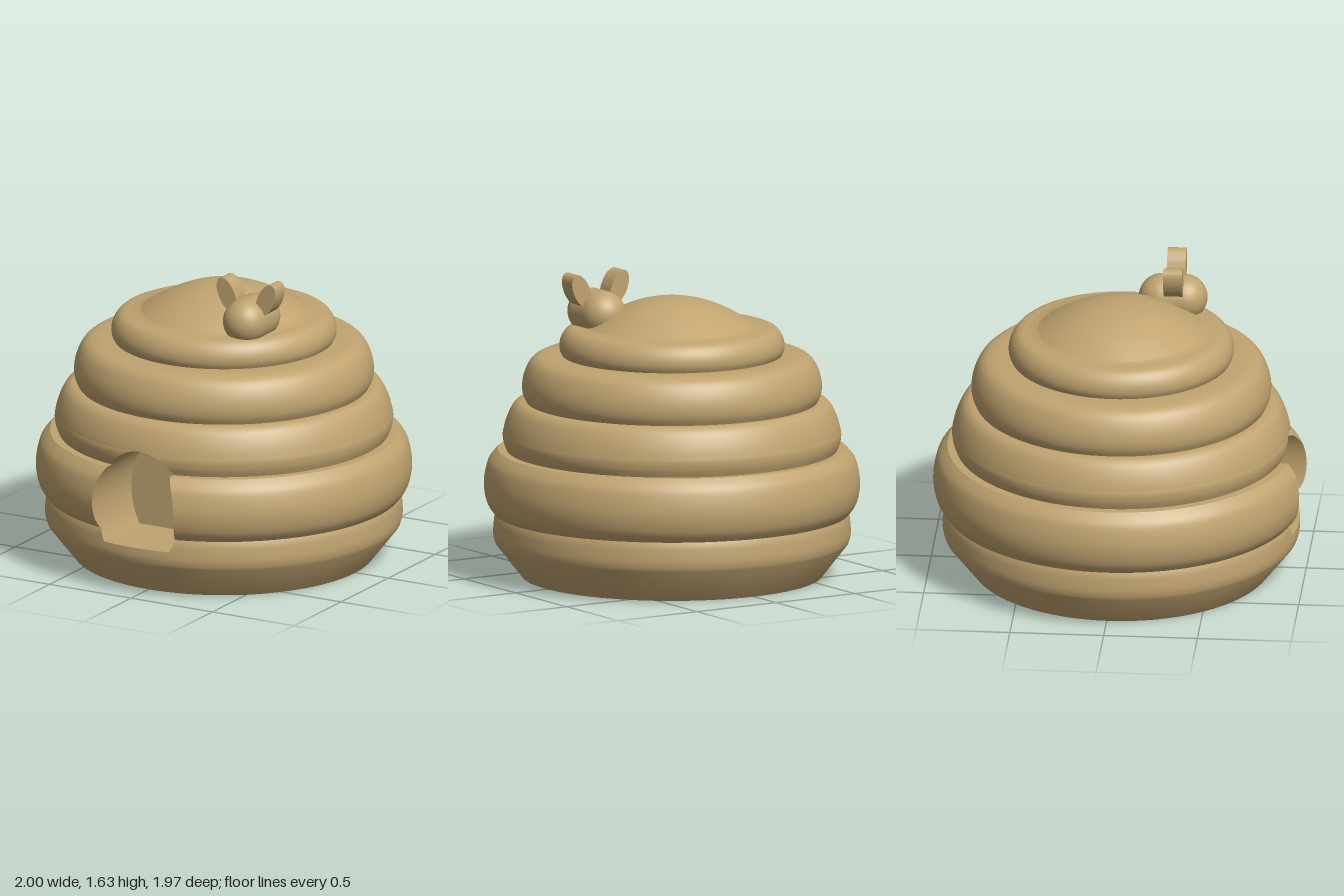
import * as THREE from 'three';
import { toCreasedNormals } from 'three/addons/utils/BufferGeometryUtils.js';

const FLOOR = 0.27, ARCH = 0.79, BACK = 0.55, COLS = 112;

// Half width of the doorway at a height
function doorHalfWidth(y) {
  if (y > ARCH - 1e-5) return 0;
  const t = (y - 0.48) / (y > 0.48 ? 0.31 : 0.35);
  return 0.25 * Math.sqrt(Math.max(0, 1 - t * t));
}

// Surface from rows of points; counter-clockwise when rows go up and points go right
function gridGeometry(rows) {
  const pos = [], n = new THREE.Vector3();
  const tri = (a, b, c) => {
    n.subVectors(b, a).cross(c.clone().sub(a));
    if (n.length() > 1e-8) [a, b, c].forEach((p) => pos.push(p.x, p.y, p.z));
  };
  for (let i = 0; i + 1 < rows.length; i++) {
    for (let j = 0; j + 1 < rows[i].length; j++) {
      const a = rows[i][j], b = rows[i][j + 1], c = rows[i + 1][j + 1], d = rows[i + 1][j];
      tri(a, b, c);
      tri(a, c, d);
    }
  }
  const g = new THREE.BufferGeometry();
  g.setAttribute('position', new THREE.Float32BufferAttribute(pos, 3));
  return toCreasedNormals(g, 0.6);
}

// Smooth profile through a few [radius, height] points
function spline(points, count) {
  return new THREE.SplineCurve(points.map((p) => new THREE.Vector2(...p))).getPoints(count);
}

export function createModel() {
  const straw = new THREE.MeshStandardMaterial({ color: 0xc0a470 });
  straw.name = 'straw';
  const model = new THREE.Group();
  const add = (parent, name, geometry) => {
    const mesh = new THREE.Mesh(geometry, straw);
    mesh.name = name;
    parent.add(mesh);
    return mesh;
  };

  // Coil profiles, bottom to top, split where the doorway starts and ends
  const below = [
    new THREE.Vector2(0, 0), new THREE.Vector2(0.8, 0),
    ...spline([[0.94, 0.18], [0.949, 0.21], [0.951, 0.24], [0.949, FLOOR]], 6),
  ];
  const beside = [
    ...spline([[0.949, FLOOR], [0.945, 0.31], [0.935, 0.34]], 5),
    ...spline([[0.945, 0.34], [0.98, 0.39], [0.998, 0.46], [0.998, 0.53], [0.98, 0.61], [0.955, 0.65], [0.925, 0.68]], 24),
    ...spline([[0.88, 0.68], [0.895, 0.72], [0.9, 0.76], [0.895, ARCH]], 24),
  ];
  const above = [
    ...spline([[0.895, ARCH], [0.885, 0.83], [0.865, 0.88], [0.84, 0.92], [0.81, 0.94]], 10),
    ...spline([[0.775, 0.94], [0.793, 0.98], [0.797, 1.03], [0.785, 1.09], [0.755, 1.15], [0.715, 1.18], [0.66, 1.19]], 20),
    ...spline([[0.585, 1.19], [0.598, 1.22], [0.597, 1.26], [0.58, 1.3], [0.55, 1.33], [0.51, 1.34]], 14),
    ...spline([[0.45, 1.34], [0.38, 1.384], [0.3, 1.428], [0.2, 1.469], [0.1, 1.492], [0, 1.5]], 18),
  ];

  // Revolve a profile, leaving the doorway open when asked
  const revolve = (profile, open) => profile.map((p) => {
    const gap = open ? Math.asin(doorHalfWidth(p.y) / p.x) : 0;
    const row = [];
    for (let j = 0; j <= COLS; j++) {
      const a = gap + (2 * Math.PI - 2 * gap) * j / COLS;
      row.push(new THREE.Vector3(p.x * Math.sin(a), p.y, p.x * Math.cos(a)));
    }
    return row;
  });

  const hive = new THREE.Group();
  hive.name = 'hive';
  hive.position.z = 0.014;
  model.add(hive);
  add(hive, 'coiledShell', gridGeometry([
    ...revolve(below, false), ...revolve(beside, true), ...revolve(above, false),
  ]));

  // Doorway walls and back
  add(hive, 'doorwayWalls', gridGeometry(beside.map((p) => {
    const w = doorHalfWidth(p.y), z = Math.sqrt(p.x * p.x - w * w);
    return [[-w, z], [-w, BACK], [w, BACK], [w, z]].map(([x, d]) => new THREE.Vector3(x, p.y, d));
  })));

  // Doorway floor
  const front = [], rear = [], sill = doorHalfWidth(FLOOR);
  for (let i = 0; i <= 10; i++) {
    const x = sill * (i / 5 - 1);
    front.push(new THREE.Vector3(x, FLOOR, Math.sqrt(0.949 ** 2 - x * x)));
    rear.push(new THREE.Vector3(x, FLOOR, BACK));
  }
  add(hive, 'doorwayFloor', gridGeometry([front, rear]));

  // Bee resting on the top coil
  const bee = new THREE.Group();
  bee.name = 'bee';
  bee.position.set(0.315, 1.41, 0.265);
  model.add(bee);
  add(bee, 'beeBody', new THREE.CapsuleGeometry(0.123, 0.12, 12, 32).rotateX(Math.PI / 2));

  const oval = new THREE.Shape().absellipse(0, 0, 0.05, 0.095, 0, Math.PI * 2);
  for (const side of [-1, 1]) {
    const wing = add(bee, side > 0 ? 'leftWing' : 'rightWing',
      toCreasedNormals(new THREE.ExtrudeGeometry(oval, { depth: 0.1, bevelEnabled: false, curveSegments: 32 }), 0.6));
    wing.position.set(side * 0.12, 0.13, -0.04);
    wing.rotation.z = -side * 0.43;
  }
  return model;
}
